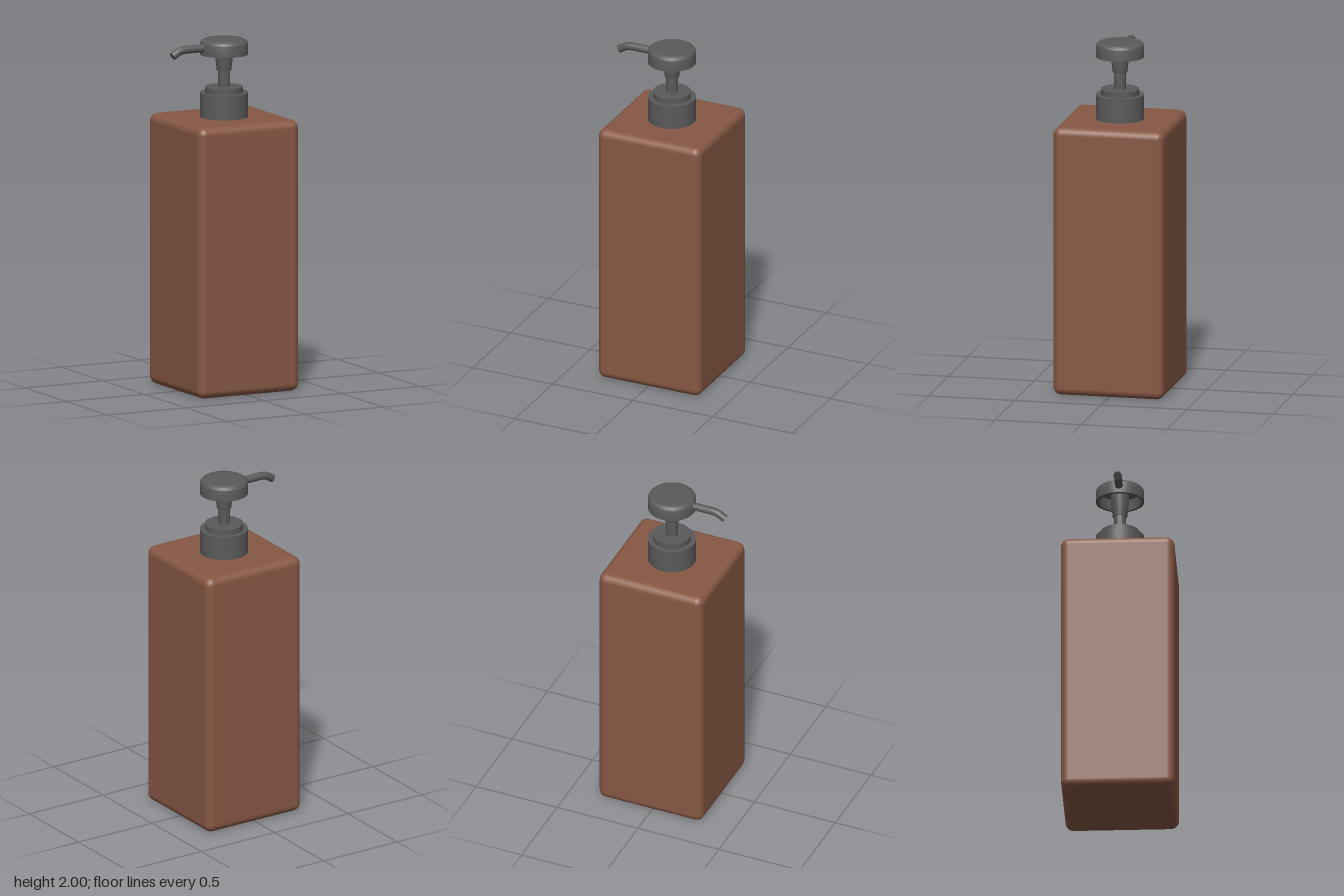
import * as THREE from 'three';
import { toCreasedNormals } from 'three/addons/utils/BufferGeometryUtils.js';
import { RoundedBoxGeometry } from 'three/addons/geometries/RoundedBoxGeometry.js';

const AXIS = 0.01; // x of the bottle and pump axis

export function createModel() {
  const group = new THREE.Group();
  const brown = new THREE.MeshStandardMaterial({ color: 0x875844 });
  brown.name = 'brown bottle';
  const grey = new THREE.MeshStandardMaterial({ color: 0x5a5a5a });
  grey.name = 'dark grey pump';

  const add = (name, geometry, material, x = AXIS, y = 0) => {
    const mesh = new THREE.Mesh(geometry, material);
    mesh.name = name;
    mesh.position.set(x, y, 0);
    group.add(mesh);
    return mesh;
  };
  // Turned part from [radius, height] points, outer side running upwards
  const turned = (name, points) => {
    const profile = points.map(([r, y]) => new THREE.Vector2(r, y));
    add(name, toCreasedNormals(new THREE.LatheGeometry(profile, 64), 0.6), grey);
  };

  // Square bottle with softly rounded edges
  add('bottle', new RoundedBoxGeometry(0.642, 1.555, 0.642, 6, 0.045), brown, AXIS, 1.555 / 2);

  // Screw collar with a smaller step on top
  turned('collar', [[0, 1.55], [0.137, 1.55], [0.137, 1.695], [0.108, 1.695], [0.108, 1.728], [0, 1.728]]);

  // Thin stem and the flared neck that slides over it
  turned('stem', [[0, 1.72], [0.034, 1.72], [0.034, 1.84], [0, 1.84]]);
  turned('neck', [[0, 1.822], [0.041, 1.822], [0.052, 1.91], [0.053, 1.985], [0, 1.985]]);

  // Pump head: hollow underneath, rounded upper edge
  const bevel = 0.03;
  const rim = [];
  for (let i = 0; i <= 8; i++) {
    const a = (i / 8) * Math.PI / 2;
    rim.push([0.137 - bevel + bevel * Math.cos(a), 2 - bevel + bevel * Math.sin(a)]);
  }
  turned('pumpHead', [[0, 1.98], [0.12, 1.98], [0.12, 1.913], [0.137, 1.913], ...rim, [0, 2]]);

  // Spout: straight tube bending down at its tip
  const p = (x, y) => new THREE.Vector3(x, y, 0);
  const start = p(-0.115, 1.957), bend = p(-0.215, 1.957);
  const drop = p(-0.283, 1.947), tip = p(-0.319, 1.925);
  const path = new THREE.CurvePath();
  path.add(new THREE.LineCurve3(start, bend));
  path.add(new THREE.QuadraticBezierCurve3(bend, p(-0.262, 1.959), drop));
  path.add(new THREE.LineCurve3(drop, tip));
  const radius = 0.0225;
  add('spout', new THREE.TubeGeometry(path, 40, radius, 24), grey, 0);

  // Flat end of the spout
  const end = add('spoutEnd', new THREE.CircleGeometry(radius, 24), grey, tip.x, tip.y);
  end.quaternion.setFromUnitVectors(new THREE.Vector3(0, 0, 1), tip.clone().sub(drop).normalize());

  return group;
}
